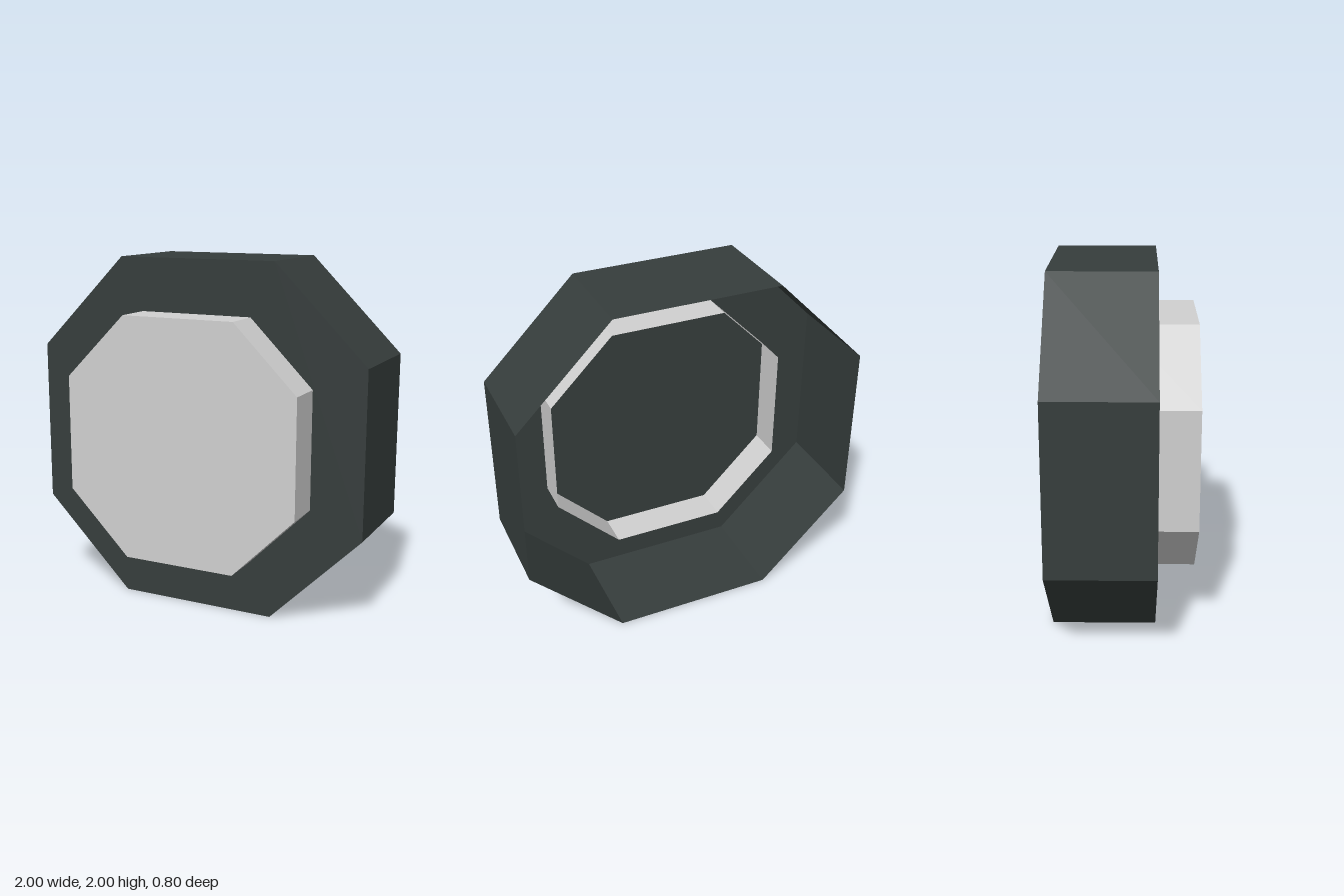
import * as THREE from 'three';

const CENTRE_Y = 1;

// Octagon corners, counter-clockwise: half = half width, corner = half length of the straight sides
function octagon(half, corner) {
  return [
    [-corner, -half], [corner, -half], [half, -corner], [half, corner],
    [corner, half], [-corner, half], [-half, corner], [-half, -corner],
  ].map(([x, y]) => new THREE.Vector2(x, y));
}

// Thin open wall around the outline, from zBack to zFront
function wall(outline, zBack, zFront) {
  const pos = [];
  outline.forEach((a, i) => {
    const b = outline[(i + 1) % outline.length];
    pos.push(a.x, a.y, zBack, b.x, b.y, zBack, b.x, b.y, zFront);
    pos.push(a.x, a.y, zBack, b.x, b.y, zFront, a.x, a.y, zFront);
  });
  const geo = new THREE.BufferGeometry();
  geo.setAttribute('position', new THREE.Float32BufferAttribute(pos, 3));
  geo.computeVertexNormals();
  return geo;
}

// Flat front plate filling the outline
function plate(outline, z) {
  return new THREE.ShapeGeometry(new THREE.Shape(outline)).translate(0, 0, z);
}

export function createModel() {
  const dark = new THREE.MeshStandardMaterial({ color: 0x363d3c, flatShading: true, side: THREE.DoubleSide });
  dark.name = 'dark grey';
  const light = new THREE.MeshStandardMaterial({ color: 0xd0d0d0, flatShading: true, side: THREE.DoubleSide });
  light.name = 'light grey';

  // An octagonal cup, closed at the front and open at the back
  function cup(name, outline, zBack, zFront, material) {
    const group = new THREE.Group();
    group.name = name;
    const side = new THREE.Mesh(wall(outline, zBack, zFront), material);
    side.name = name + 'Wall';
    const face = new THREE.Mesh(plate(outline, zFront), material);
    face.name = name + 'Face';
    group.add(side, face);
    group.position.y = CENTRE_Y;
    return group;
  }

  const model = new THREE.Group();
  model.name = 'octagonalButton';
  model.add(
    cup('housing', octagon(1, 0.468), -0.4, 0.178, dark),
    // The cap's wall passes through the housing face and shows inside it
    cup('cap', octagon(0.698, 0.333), -0.02, 0.4, light),
  );
  return model;
}
